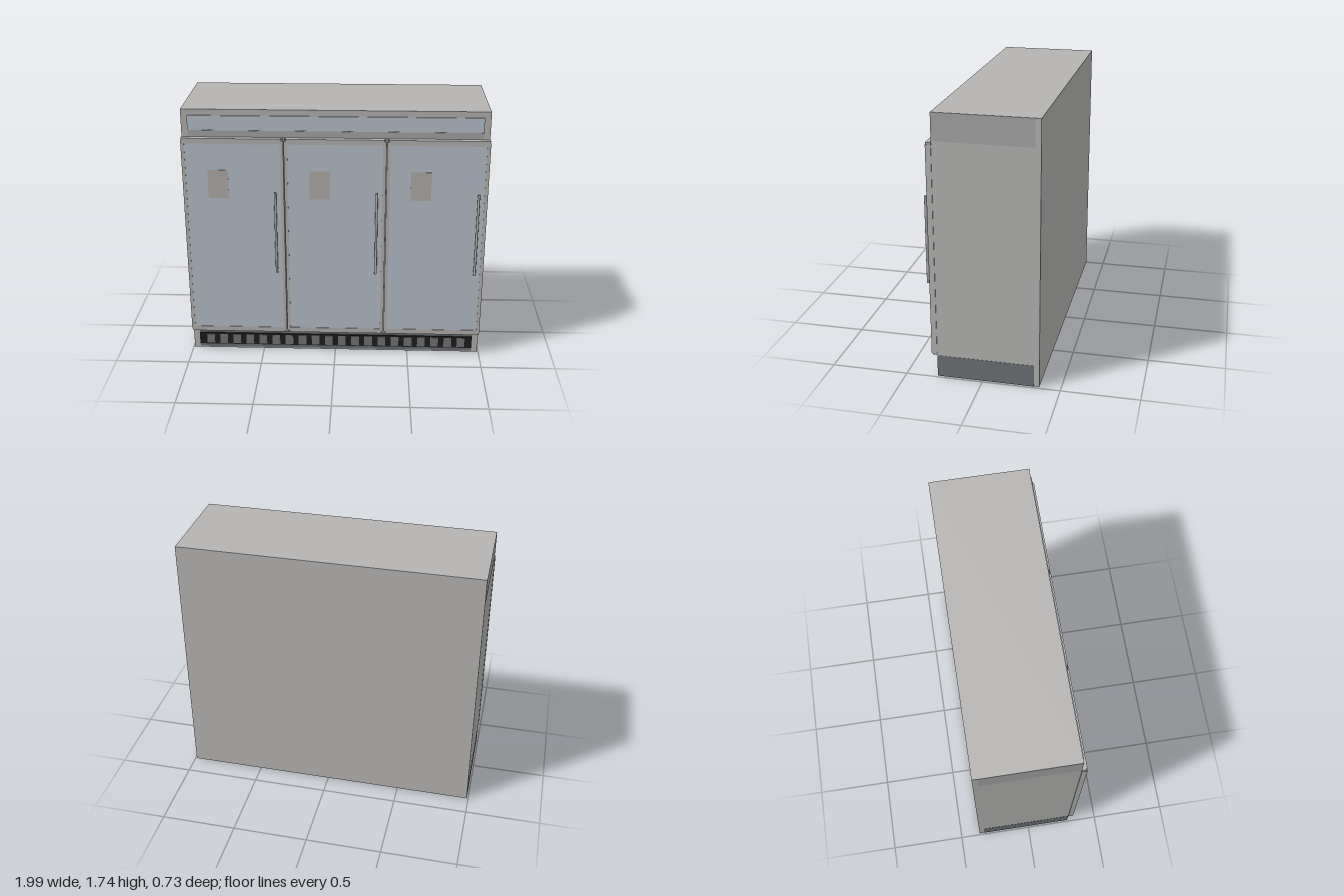
import * as THREE from 'three';

const mat = (name, color) => {
  const m = new THREE.MeshStandardMaterial({ color });
  m.name = name;
  return m;
};

export function createModel() {
  const steel = mat('brushed steel', 0xb5b4b3);
  const band = mat('shaded steel', 0xa6a6a6);
  const panelBlue = mat('pale blue panel', 0xbac2cb);
  const label = mat('warm grey label', 0xb3afac);
  const plinth = mat('plinth grey', 0x6c7175);
  const black = mat('grille black', 0x1c1d1e);
  const slatGrey = mat('slat grey', 0x747474);

  const root = new THREE.Group();
  root.name = 'builtInRefrigerator';

  // Box given by its minimum and maximum corners
  const box = (parent, name, m, x0, x1, y0, y1, z0, z1) => {
    const mesh = new THREE.Mesh(new THREE.BoxGeometry(x1 - x0, y1 - y0, z1 - z0), m);
    mesh.position.set((x0 + x1) / 2, (y0 + y1) / 2, (z0 + z1) / 2);
    mesh.name = name;
    parent.add(mesh);
    return mesh;
  };

  // Rectangular frame with an open middle, extruded along z
  const frame = (parent, name, m, x0, x1, y0, y1, border, z0, z1) => {
    const rect = (target, a, b, c, d) =>
      target.moveTo(a, c).lineTo(b, c).lineTo(b, d).lineTo(a, d).closePath();
    const shape = rect(new THREE.Shape(), x0, x1, y0, y1);
    shape.holes.push(rect(new THREE.Path(), x0 + border, x1 - border, y0 + border, y1 - border));
    const geo = new THREE.ExtrudeGeometry(shape, { depth: z1 - z0, bevelEnabled: false });
    const mesh = new THREE.Mesh(geo, m);
    mesh.position.z = z0;
    mesh.name = name;
    parent.add(mesh);
  };

  // Cabinet
  box(root, 'cabinet', steel, -0.99, 0.99, 0.004, 1.74, -0.365, 0.295);
  box(root, 'underside', plinth, -0.985, 0.985, 0, 0.006, -0.33, 0.29);
  for (const s of [-1, 1]) {
    const x = s * 0.99;
    box(root, 'plinthSide', plinth, x - 0.001, x + 0.001, 0.004, 0.15, -0.33, 0.294);
    box(root, 'headerSide', band, x - 0.001, x + 0.001, 1.565, 1.738, -0.33, 0.294);
  }

  // Header with its inset strip
  box(root, 'headerPanel', panelBlue, -0.95, 0.95, 1.603, 1.7, 0.29, 0.304);
  box(root, 'headerLip', band, -0.95, 0.95, 1.558, 1.6, 0.29, 0.297);

  // Toe grille
  const grille = new THREE.Group();
  grille.name = 'toeGrille';
  root.add(grille);
  box(grille, 'toePlate', plinth, -0.95, 0.95, 0.012, 0.15, 0.29, 0.297);
  box(grille, 'grilleBack', black, -0.95, 0.95, 0.036, 0.123, 0.29, 0.304);
  for (let i = 0; i < 20; i++) {
    const x = (i - 9.5) * 0.0917;
    box(grille, 'slat', slatGrey, x - 0.027, x + 0.027, 0.043, 0.114, 0.3, 0.307);
  }

  // Three doors: outer edges, handle centre and label edge
  const doors = [
    { name: 'rightDoor', x0: -0.995, x1: -0.334, handle: -0.39, label: -0.83 },
    { name: 'middleDoor', x0: -0.33, x1: 0.33, handle: 0.272, label: -0.167 },
    { name: 'leftDoor', x0: 0.334, x1: 0.995, handle: 0.934, label: 0.492 },
  ];
  for (const d of doors) {
    const door = new THREE.Group();
    door.name = d.name;
    root.add(door);
    frame(door, 'doorFrame', steel, d.x0, d.x1, 0.168, 1.542, 0.022, 0.295, 0.33);
    box(door, 'doorPanel', panelBlue, d.x0 + 0.02, d.x1 - 0.02, 0.188, 1.522, 0.296, 0.327);
    box(door, 'label', label, d.label, d.label + 0.134, 1.145, 1.34, 0.325, 0.3285);

    // Top and bottom rails, stopping short of the hinge gaps
    for (const [y0, y1] of [[0.155, 0.168], [1.542, 1.556]])
      box(door, 'rail', steel, d.x0 + 0.012, d.x1 - 0.012, y0, y1, 0.295, 0.33);

    // Handle bar on two posts
    const bar = new THREE.Mesh(new THREE.CylinderGeometry(0.008, 0.008, 0.575, 16), steel);
    bar.name = 'handleBar';
    bar.position.set(d.handle, 0.9125, 0.357);
    door.add(bar);
    for (const y of [0.645, 1.18]) {
      const post = new THREE.Mesh(new THREE.CylinderGeometry(0.007, 0.007, 0.035, 12), steel);
      post.name = 'handlePost';
      post.rotation.x = Math.PI / 2;
      post.position.set(d.handle, y, 0.34);
      door.add(post);
    }
  }

  // Hinge caps between and beside the doors
  for (const x of [-0.984, -0.332, 0.332, 0.984])
    for (const y of [0.162, 1.548])
      box(root, 'hinge', band, x - 0.009, x + 0.009, y - 0.008, y + 0.008, 0.294, 0.324);

  return root;
}
